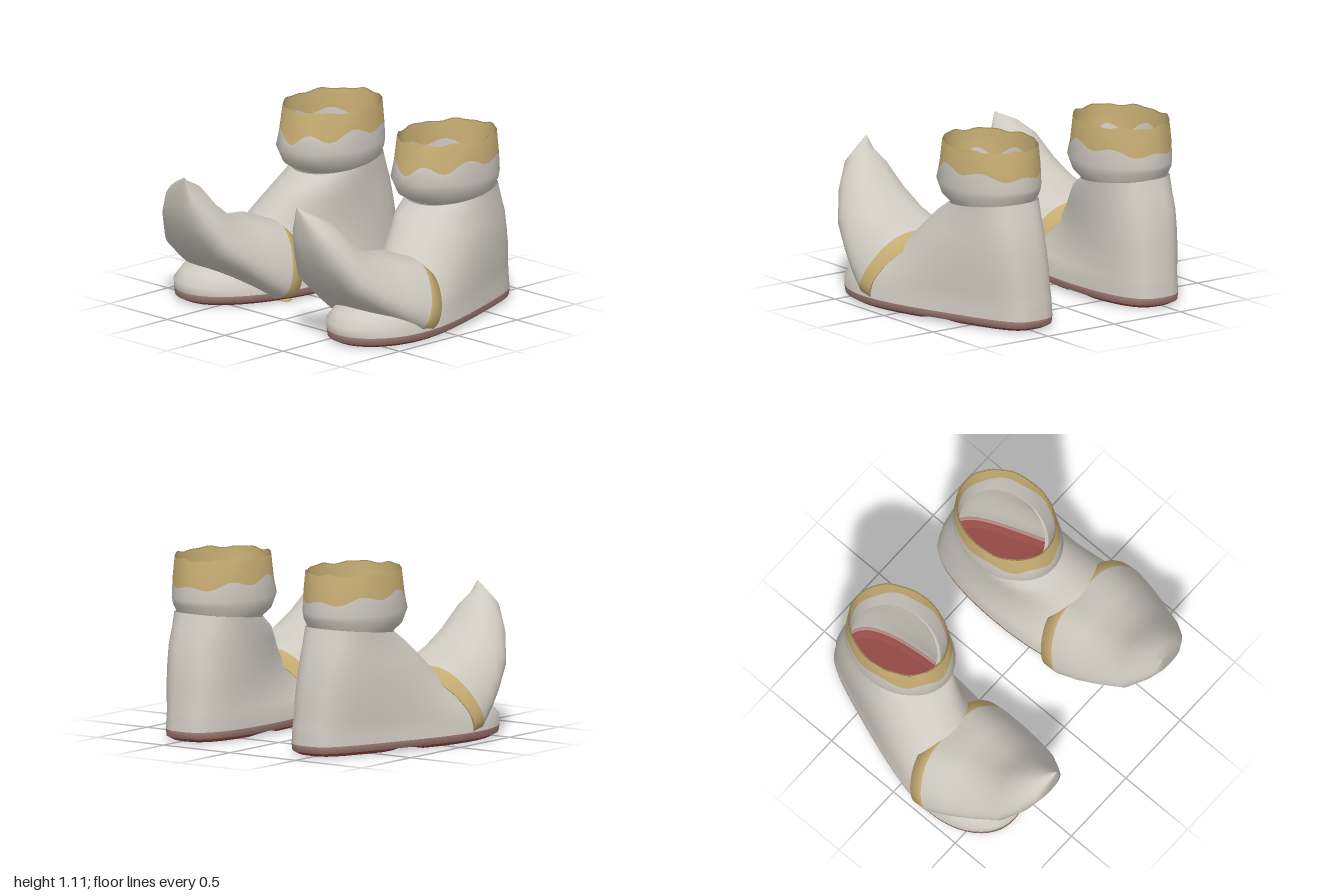
import * as THREE from 'three';

const N = 64;
const mat = (name, color) => {
  const m = new THREE.MeshStandardMaterial({ color, side: THREE.DoubleSide });
  m.name = name;
  return m;
};

// Skin a stack of closed rings; bands[i] is the material index of the strip above ring i
function loft(rings, bands, side) {
  const pos = [], idx = [], geo = new THREE.BufferGeometry();
  rings.forEach(r => r.forEach(p => pos.push(p[0] * side, p[1], p[2])));
  for (let i = 0; i < rings.length - 1; i++) {
    const start = idx.length;
    for (let j = 0; j < N; j++) {
      const a = i * N + j, b = i * N + (j + 1) % N, c = a + N, d = b + N;
      if (side > 0) idx.push(a, b, d, a, d, c);
      else idx.push(a, d, b, a, c, d);
    }
    geo.addGroup(start, idx.length - start, bands[i]);
  }
  geo.setAttribute('position', new THREE.Float32BufferAttribute(pos, 3));
  geo.setIndex(idx);
  geo.computeVertexNormals();
  return geo;
}

const ring = fn => Array.from({ length: N }, (_, j) => fn(j / N * Math.PI * 2));
const signedPow = (s, p) => Math.sign(s) * Math.abs(s) ** p;

// Foot outline: back/front height, back/front z, heel centre and half width, toe centre and half width;
// square at the heel and round at the toe
const footRing = ([yb, yf, zb, zf, hc, hw, tc, tw]) => ring(t => {
  const u = (1 + Math.cos(t)) / 2, k = u * u * (3 - 2 * u);
  const w = hw + (tw - hw) * k;
  return [hc + (tc - hc) * k + w * signedPow(Math.sin(t), 0.68 + 0.25 * k), yb + (yf - yb) * u, zb + (zf - zb) * u];
});

// Toe-cap section between a low and a high point: a rounded trapezoid (power, taper),
// with the inner flank lowered by drop
const capRing = ([zb, yb, zt, yt, cx, hw, power, taper, drop]) => ring(t => {
  const h = ((1 + Math.cos(t)) / 2) ** 1.2, s = signedPow(Math.sin(t), power);
  return [cx - hw * s * (1 - taper * h), yb + (yt - yb) * h - drop * Math.max(s, 0) * (1 - h), zb + (zt - zb) * h];
});

// Oval cuff ring with an optional uneven height
const cuffRing = (y, zb, zf, hw, wave = () => 0) => ring(t => [
  0.495 + hw * Math.sin(t), y + wave(t), (zb + zf) / 2 + (zf - zb) / 2 * Math.cos(t)]);

function makeBoot(side, mats) {
  const [grey, tan, red, pink] = mats;
  const boot = new THREE.Group();
  boot.name = side > 0 ? 'leftBoot' : 'rightBoot';
  const add = (name, geo, material) => {
    const m = new THREE.Mesh(geo, material);
    m.name = name;
    boot.add(m);
    return m;
  };

  // Foot and ankle
  const upper = [
    [0.065, 0.065, -0.87, 0.68, 0.475, 0.285, 0.66, 0.405],
    [0.12, 0.12, -0.865, 0.69, 0.475, 0.285, 0.66, 0.39],
    [0.18, 0.18, -0.86, 0.63, 0.475, 0.28, 0.66, 0.36],
    [0.23, 0.24, -0.85, 0.47, 0.48, 0.275, 0.65, 0.32],
    [0.35, 0.35, -0.84, 0.25, 0.485, 0.265, 0.61, 0.29],
    [0.46, 0.46, -0.82, 0.13, 0.49, 0.26, 0.58, 0.28],
    [0.57, 0.56, -0.8, 0.04, 0.495, 0.25, 0.54, 0.265],
    [0.67, 0.63, -0.765, -0.03, 0.495, 0.245, 0.51, 0.25],
    [0.77, 0.7, -0.73, -0.14, 0.495, 0.24, 0.495, 0.24],
  ];
  add('foot', loft(upper.map(footRing), upper.map(() => 0), side), mats);

  // Sole edge, lifted slightly at the arch
  const arch = r => r.map(([x, y, z]) => [x, y + 0.025 * Math.exp(-(((z + 0.29) / 0.07) ** 2)), z]);
  const soleTop = footRing(upper[0]);
  const soleMid = footRing([0.022, 0.022, -0.865, 0.675, 0.475, 0.28, 0.66, 0.395]);
  const soleLow = arch(footRing([0, 0, -0.82, 0.63, 0.475, 0.245, 0.66, 0.35]));
  add('soleEdge', loft([soleLow, soleMid, soleTop], [2, 3], side), mats);

  // Sole underside in cross strips; the arch strips are pink outside and grey towards the inner side
  const faces = { outsole: [], archPink: [], archGrey: [] };
  const order = side > 0 ? [0, 2, 1, 0, 3, 2] : [0, 1, 2, 0, 2, 3];
  const quad = (list, q) => order.forEach(k => list.push(q[k][0] * side, q[k][1], q[k][2]));
  const mid = (a, b) => a.map((v, k) => v + (b[k] - v) * 0.5);
  for (let i = 0; i < N / 2; i++) {
    const [a, b, c, d] = [soleLow[i], soleLow[i + 1], soleLow[N - 1 - i], soleLow[(N - i) % N]];
    if (Math.abs((a[2] + b[2]) / 2 + 0.26) < 0.06) {
      const e = mid(a, d), f = mid(b, c);
      quad(faces.archPink, [a, b, f, e]);
      quad(faces.archGrey, [e, f, c, d]);
    } else quad(faces.outsole, [a, b, c, d]);
  }
  const faceMats = { outsole: red, archPink: pink, archGrey: grey };
  for (const name in faces) {
    const g = new THREE.BufferGeometry();
    g.setAttribute('position', new THREE.Float32BufferAttribute(faces[name], 3));
    g.computeVertexNormals();
    add(name, g, faceMats[name]);
  }

  // Trim showing under the right sole
  if (side < 0) {
    const strip = add('underTrim', new THREE.BoxGeometry(0.52, 0.006, 0.06), tan);
    strip.position.set(-0.52, 0, 0.25);
    strip.rotation.y = 0.27;
  }

  // Curled toe cap with a trim band around its opening
  const cap = [
    [0.22, 0.05, 0.07, 0.37, 0.6, 0.4, 0.5, 0.3, 0.03],
    [0.2, 0.03, 0.03, 0.39, 0.6, 0.445, 0.5, 0.3, 0.04],
    [0.29, 0.045, 0.11, 0.46, 0.6, 0.45, 0.5, 0.32, 0.045],
    [0.42, 0.13, 0.3, 0.49, 0.59, 0.42, 0.6, 0.34, 0.03],
    [0.55, 0.21, 0.48, 0.56, 0.58, 0.37, 0.7, 0.34, 0],
    [0.72, 0.34, 0.6, 0.66, 0.572, 0.305, 0.8, 0.34, 0],
    [0.82, 0.52, 0.7, 0.78, 0.568, 0.215, 0.9, 0.3, 0],
    [0.875, 0.68, 0.8, 0.83, 0.55, 0.13, 0.95, 0.3, 0],
    [0.87, 0.87, 0.87, 0.87, 0.485, 0.002, 1, 0, 0],
  ];
  add('toeCap', loft(cap.map(capRing), [1, 1, 0, 0, 0, 0, 0, 0], side), mats);

  // Bulging cuff with a wavy painted edge, a ragged rim and an inner lining
  const wavy = t => -0.034 * Math.cos(7 * t) * (0.7 + 0.3 * Math.cos(t)) - 0.02 * Math.cos(2 * t);
  const ragged = t => 0.006 * Math.sin(7 * t) + 0.004 * Math.sin(13 * t + 1);
  const tilt = t => -0.035 * Math.cos(t);
  const cuff = [
    cuffRing(0.735, -0.73, -0.16, 0.24, tilt),
    cuffRing(0.785, -0.755, -0.07, 0.272, tilt),
    cuffRing(0.85, -0.76, -0.02, 0.287),
    cuffRing(0.945, -0.755, -0.045, 0.28, wavy),
    cuffRing(1.1, -0.74, -0.07, 0.267, ragged),
    cuffRing(1.095, -0.73, -0.08, 0.257, ragged),
    cuffRing(0.96, -0.73, -0.07, 0.258, wavy),
    cuffRing(0.75, -0.72, -0.13, 0.24, tilt),
  ];
  add('cuff', loft(cuff, [0, 0, 0, 1, 1, 1, 0], side), mats);
  return boot;
}

export function createModel() {
  const mats = [
    mat('paleGrey', 0xcfcac1),
    mat('tanTrim', 0xc8ae74),
    mat('soleRed', 0x934a45),
    mat('soleEdgePink', 0xb58a83),
  ];
  const model = new THREE.Group();
  model.name = 'curledToeBoots';
  for (const side of [1, -1]) model.add(makeBoot(side, mats));
  return model;
}
